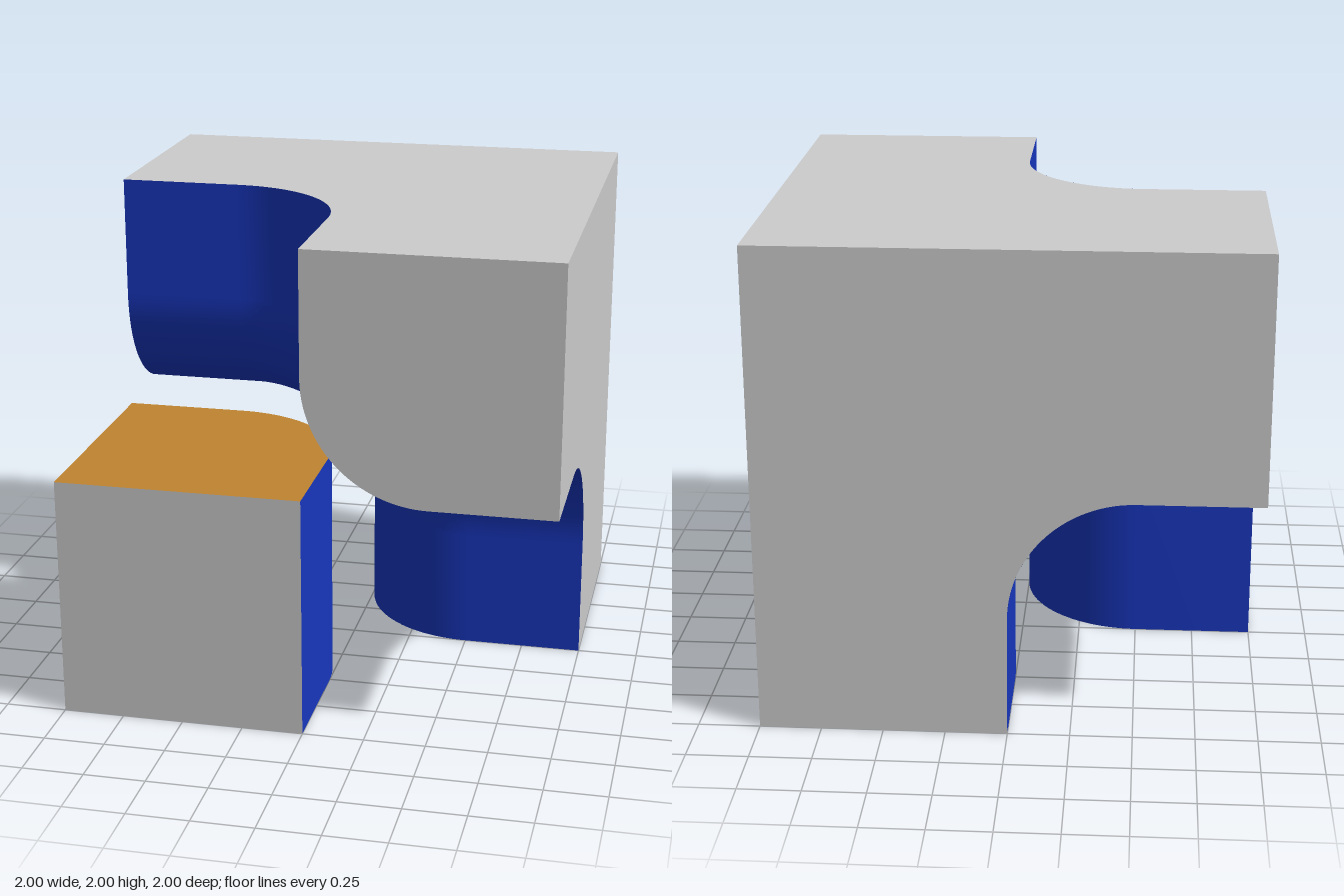
import * as THREE from 'three';
import { mergeVertices, mergeGeometries } from 'three/addons/utils/BufferGeometryUtils.js';

const R = 0.5;      // fillet radius
const N = 24;       // segments per quarter arc
const GREY = 0xcccccc, BLUE = 0x1836be, ORANGE = 0xbf842f;

// Work in (u, v, w) = (x, y - 1, -z), where the body is symmetric under cyclic axis swaps.
const toWorld = ([u, v, w]) => [u, v + 1, -w];
const cycle = ([a, b, c]) => [c, a, b];
const antiCycle = ([a, b, c]) => [-c, -a, -b];
const repeat = (fn, p, n) => {
  for (let i = 0; i < n; i++) p = fn(p);
  return p;
};

// Push a grid of triangles for f(i, j)
function grid(out, f, rows, cols) {
  for (let i = 0; i < rows; i++) {
    for (let j = 0; j < cols; j++) {
      const a = f(i, j), b = f(i + 1, j), c = f(i, j + 1), d = f(i + 1, j + 1);
      for (const p of [a, c, b, b, c, d]) out.push(...toWorld(p));
    }
  }
}

function smoothGeometry(positions) {
  let g = new THREE.BufferGeometry();
  g.setAttribute('position', new THREE.Float32BufferAttribute(positions, 3));
  g = mergeVertices(g, 1e-4);
  g.computeVertexNormals();
  return g;
}

// Flat outline at distance r along axis k (0 = u, 1 = v, 2 = w)
function face(shape, r, k, flip) {
  const g = new THREE.ShapeGeometry(shape, N);
  const pos = g.attributes.position;
  for (let i = 0; i < pos.count; i++) {
    pos.setXYZ(i, ...toWorld(repeat(cycle, [r, pos.getX(i), pos.getY(i)], k)));
  }
  if (flip) g.index.array.reverse();
  g.computeVertexNormals();
  return g;
}

// Outlines on the cube faces
function notchedSquare() {
  const s = new THREE.Shape();
  s.moveTo(1, -1).lineTo(1, 1).lineTo(-1, 1).lineTo(-1, 0);
  s.absarc(-R, -R, R, Math.PI / 2, 0, true);
  s.lineTo(0, -1);
  return s;
}

function roundedQuarter() {
  const s = new THREE.Shape();
  s.moveTo(1, 0).lineTo(1, 1).lineTo(0, 1);
  s.absarc(R, R, R, Math.PI, Math.PI * 1.5, false);
  s.lineTo(1, 0);
  return s;
}

function blockOutline() {
  const s = new THREE.Shape();
  s.moveTo(-1, -1).lineTo(0, -1);
  s.absarc(-R, -R, R, 0, Math.PI / 2, false);
  s.lineTo(-1, 0);
  return s;
}

function squareOutline() {
  const s = new THREE.Shape();
  s.moveTo(-1, -1).lineTo(0, -1).lineTo(0, 0).lineTo(-1, 0);
  return s;
}

// Blended inner surface: six alike sectors around a three-way saddle
function innerSurface() {
  const out = [];
  const arc = (j) => {
    const a = (j / N) * Math.PI / 2;
    return [-R, R - R * Math.cos(a), R - R * Math.sin(a)];
  };
  for (let s = 0; s < 6; s++) {
    const place = (p) => repeat(antiCycle, p, s);
    // saddle sector, from the centre out to the fillet arc
    grid(out, (i, j) => {
      const r = i / N, p = arc(j), m = (p[0] + p[1] + p[2]) / 3;
      return place(p.map((c) => (c - m) * r + m * r ** 3));
    }, N, N);
    // straight fillet out to the cube face
    grid(out, (i, j) => {
      const [u, v, w] = arc(j);
      return place([u - i * (1 - R), v, w]);
    }, 1, N);
    // flat square beside the fillet
    grid(out, (i, j) => place([-R - i * (1 - R), 0, 1 - j * (1 - R)]), 1, 1);
  }
  return smoothGeometry(out);
}

// Rounded wall of the loose block
function blockWall() {
  const path = [[-1, 0]];
  for (let j = 0; j <= N; j++) {
    const a = (1 - j / N) * Math.PI / 2;
    path.push([-R + R * Math.cos(a), -R + R * Math.sin(a)]);
  }
  path.push([0, -1]);
  const out = [];
  grid(out, (i, j) => [path[j][0], -i, path[j][1]], 1, path.length - 1);
  return smoothGeometry(out);
}

function addMesh(parent, name, geometry, color) {
  const material = new THREE.MeshStandardMaterial({ color, side: THREE.DoubleSide });
  const mesh = new THREE.Mesh(geometry, material);
  mesh.name = name;
  parent.add(mesh);
}

export function createModel() {
  const model = new THREE.Group();
  model.name = 'splitCube';

  // Main body: three notched faces, three rounded quarter faces and the saddle
  const body = new THREE.Group();
  body.name = 'mainBody';
  const caps = [];
  for (let k = 0; k < 3; k++) {
    caps.push(face(notchedSquare(), 1, k, true));
    caps.push(face(roundedQuarter(), -1, k, false));
  }
  addMesh(body, 'bodyOuterFaces', mergeGeometries(caps), GREY);
  addMesh(body, 'bodyInnerSurface', innerSurface(), BLUE);

  // Loose block in the opposite corner
  const block = new THREE.Group();
  block.name = 'cornerBlock';
  const outer = [
    face(squareOutline(), -1, 0, false),
    face(squareOutline(), -1, 2, false),
    face(blockOutline(), -1, 1, false),
  ];
  addMesh(block, 'blockOuterFaces', mergeGeometries(outer), GREY);
  addMesh(block, 'blockTop', face(blockOutline(), 0, 1, true), ORANGE);
  addMesh(block, 'blockRoundedWall', blockWall(), BLUE);

  model.add(body, block);
  return model;
}
